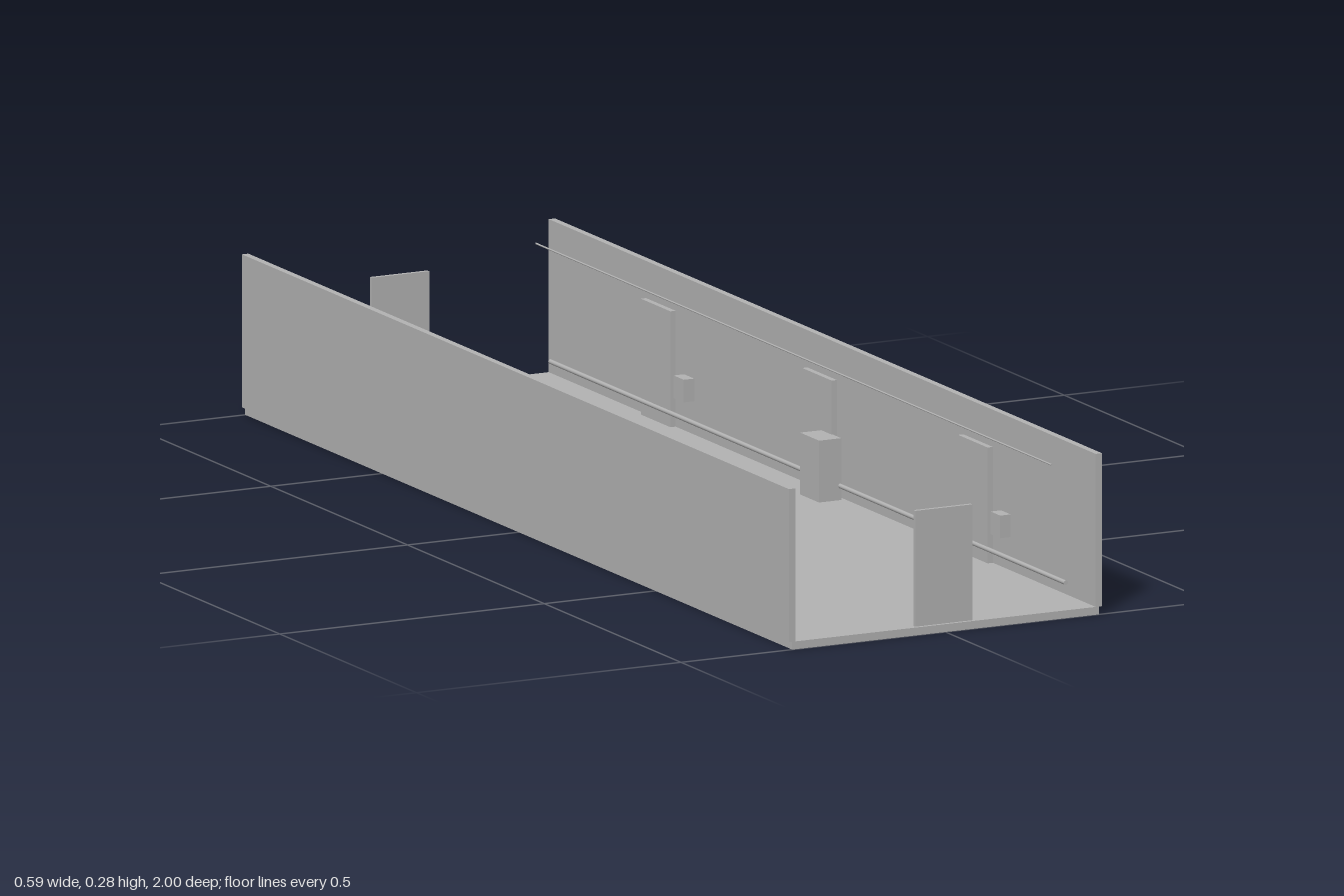
import * as THREE from 'three';

export function createModel() {
  const model = new THREE.Group();
  const grey = new THREE.MeshStandardMaterial({ color: 0xb2b2b2 });
  grey.name = 'plain grey';

  // Box given by its lower and upper corners
  function box(name, x0, x1, y0, y1, z0, z1, parent = model) {
    const mesh = new THREE.Mesh(new THREE.BoxGeometry(x1 - x0, y1 - y0, z1 - z0), grey);
    mesh.position.set((x0 + x1) / 2, (y0 + y1) / 2, (z0 + z1) / 2);
    mesh.name = name;
    parent.add(mesh);
  }

  // Round rod running along z
  function rod(name, x, y, radius, z0, z1) {
    const geometry = new THREE.CylinderGeometry(radius, radius, z1 - z0, 12).rotateX(Math.PI / 2);
    const mesh = new THREE.Mesh(geometry, grey);
    mesh.position.set(x, y, (z0 + z1) / 2);
    mesh.name = name;
    model.add(mesh);
  }

  const floorTop = 0.0135, doorTop = 0.213;

  // Corridor shell
  box('floor', -0.29, 0.29, 0, floorTop, -1, 1);
  box('rightWall', -0.296, -0.284, floorTop, 0.277, -1, 1);
  box('leftWall', 0.284, 0.296, floorTop, 0.277, -1, 1);

  // Doors at both ends and along the left wall
  box('backDoor', -0.054, 0.054, floorTop, doorTop, -0.999, -0.992);
  box('frontDoor', -0.054, 0.054, floorTop, doorTop, 0.987, 0.994);
  for (const z of [-0.59, 0, 0.57]) {
    box('sideDoor', 0.274, 0.284, floorTop, doorTop, z - 0.054, z + 0.054);
  }

  // Wall fittings
  box('cabinet', 0.234, 0.276, floorTop, 0.12, 0.016, 0.085);
  box('wallBox', 0.26, 0.28, 0.073, 0.112, -0.497, -0.46);
  box('wallBox', 0.26, 0.28, 0.073, 0.112, 0.662, 0.697);
  rod('pipe', 0.274, 0.038, 0.004, -0.975, 0.91);
  rod('cable', 0.247, 0.244, 0.0015, -0.975, 0.91);

  // Chair facing the right wall
  const chair = new THREE.Group();
  chair.name = 'chair';
  model.add(chair);
  box('seat', -0.223, -0.169, 0.047, 0.053, -0.4, -0.346, chair);
  box('backrest', -0.173, -0.167, 0.047, 0.1, -0.4, -0.346, chair);
  for (const x of [-0.221, -0.176]) {
    for (const z of [-0.398, -0.354]) {
      box('chairLeg', x, x + 0.006, floorTop, 0.047, z, z + 0.006, chair);
    }
  }

  return model;
}
